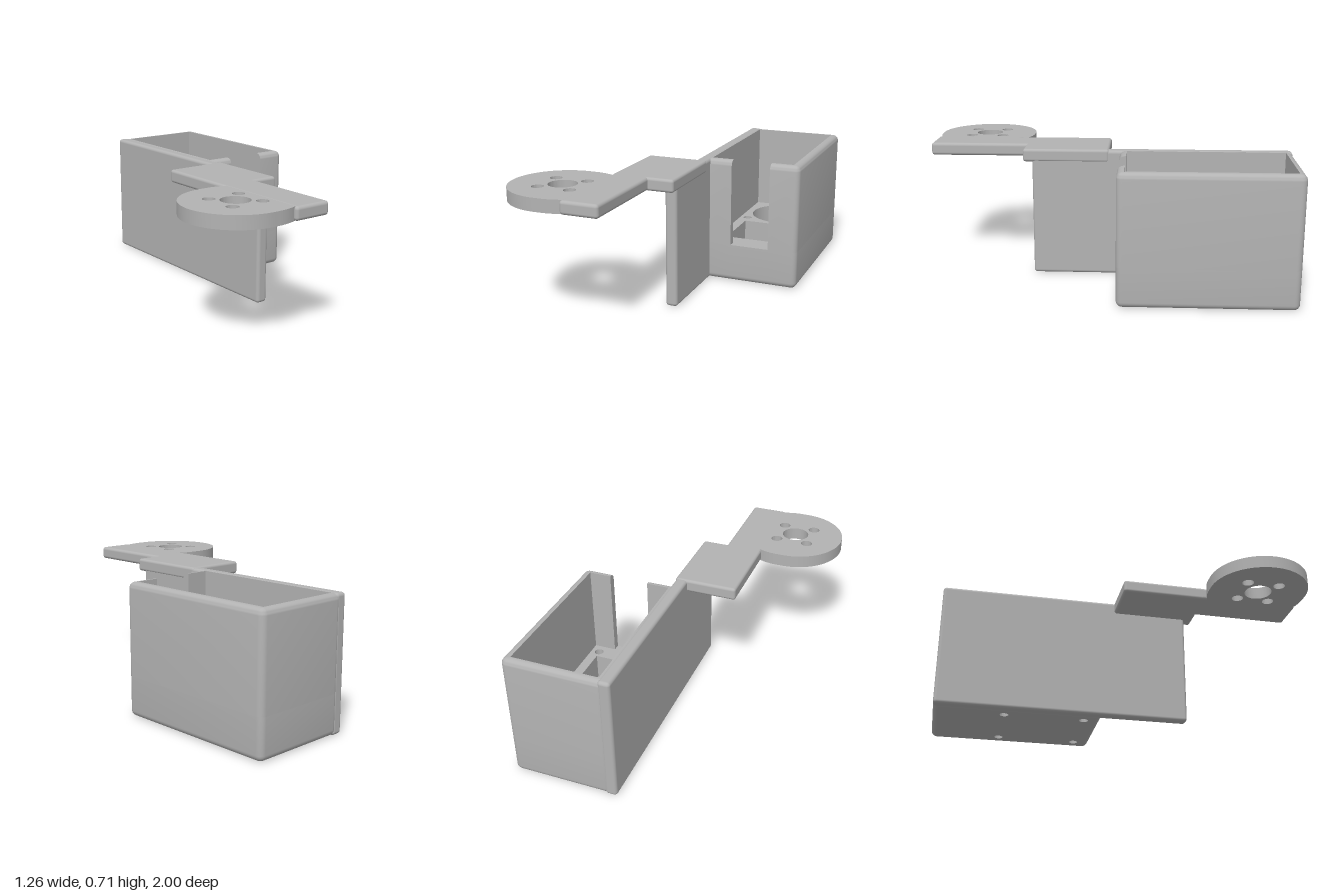
import * as THREE from 'three';
import { toCreasedNormals } from 'three/addons/utils/BufferGeometryUtils.js';
import { RoundedBoxGeometry } from 'three/addons/geometries/RoundedBoxGeometry.js';

const grey = new THREE.MeshStandardMaterial({ color: 0xb3b3b3 });
grey.name = 'plain grey';

// Box dimensions: outer and inner plan rectangles, front slot and heights
const OUT = { x0: 0.085, x1: 0.63, z0: -1, z1: -0.07 };
const INN = { x0: 0.12, x1: 0.587, z0: -0.963, z1: -0.11 };
const SLOT = { x0: 0.245, x1: 0.465 };
const TOP = 0.705, FLOOR = 0.215, RECESS = 0.07, R = 0.032;

const clamp = THREE.MathUtils.clamp;

function add(group, name, geometry) {
  const mesh = new THREE.Mesh(geometry, grey);
  mesh.name = name;
  group.add(mesh);
  return mesh;
}

function roundedBlock(group, name, x0, x1, y0, y1, z0, z1, r) {
  const mesh = add(group, name, new RoundedBoxGeometry(x1 - x0, y1 - y0, z1 - z0, 4, r));
  mesh.position.set((x0 + x1) / 2, (y0 + y1) / 2, (z0 + z1) / 2);
}

// Plan outlines are drawn with shape y = -z, then stood up so depth runs along +y
function rectPath(x0, x1, z0, z1, Kind = THREE.Path) {
  return new Kind([[x0, z1], [x1, z1], [x1, z0], [x0, z0]].map(([x, z]) => new THREE.Vector2(x, -z)));
}

function hole(x, z, r) {
  return new THREE.Path().absarc(x, -z, r, 0, Math.PI * 2, true);
}

function slab(shape, y0, y1) {
  const g = new THREE.ExtrudeGeometry(shape, { depth: y1 - y0, bevelEnabled: false, curveSegments: 32 });
  g.rotateX(-Math.PI / 2);
  g.translate(0, y0, 0);
  return toCreasedNormals(g, 0.5);
}

// Box outline from one slot edge round to the other, with rounded corners
function boxOutline() {
  const pts = [{ x: SLOT.x1, z: OUT.z1, nx: 0, nz: 1 }];
  const corners = [
    [OUT.x1 - R, OUT.z1 - R], [OUT.x1 - R, OUT.z0 + R],
    [OUT.x0 + R, OUT.z0 + R], [OUT.x0 + R, OUT.z1 - R],
  ];
  corners.forEach(([cx, cz], i) => {
    for (let k = 0; k <= 6; k++) {
      const a = (i + k / 6) * Math.PI / 2;
      const nx = Math.sin(a), nz = Math.cos(a);
      pts.push({ x: cx + R * nx, z: cz + R * nz, nx, nz });
    }
  });
  pts.push({ x: SLOT.x0, z: OUT.z1, nx: 0, nz: 1 });
  return pts;
}

// Sweep a wall profile round the outline; each step is {y, d: inset} or {y, inner}
function sweepWall(outline, profile) {
  const pos = [], index = [], n = outline.length;
  for (const s of profile) {
    for (const p of outline) {
      if (s.inner) pos.push(clamp(p.x, INN.x0, INN.x1), s.y, clamp(p.z, INN.z0, INN.z1));
      else pos.push(p.x - s.d * p.nx, s.y, p.z - s.d * p.nz);
    }
  }
  for (let j = 0; j < profile.length - 1; j++) {
    for (let i = 0; i < n - 1; i++) {
      const a = j * n + i, b = a + 1, c = b + n, d = a + n;
      index.push(a, b, c, a, c, d);
    }
  }
  const g = new THREE.BufferGeometry();
  g.setAttribute('position', new THREE.Float32BufferAttribute(pos, 3));
  g.setIndex(index);
  return toCreasedNormals(g, 0.6);
}

// Quarter-round steps at the bottom (up = -1) or top (up = 1) of the wall
function roundSteps(up) {
  return Array.from({ length: 7 }, (_, k) => {
    const a = (up > 0 ? k : 6 - k) / 6 * Math.PI / 2;
    const rise = R * (1 - Math.sin(a));
    return { y: up > 0 ? TOP - rise : rise, d: R * (1 - Math.cos(a)) };
  });
}

function makeBox() {
  const box = new THREE.Group();
  box.name = 'openBox';
  const outline = boxOutline();

  // Closed skirt below the slot, open wall above it
  add(box, 'boxSkirt', sweepWall([...outline, outline[0]], [...roundSteps(-1), { y: FLOOR, d: 0 }]));
  const wall = [{ y: FLOOR, d: 0 }, ...roundSteps(1), { y: TOP, inner: true }, { y: FLOOR, inner: true }];
  add(box, 'boxWall', sweepWall(outline, wall));

  // End faces of the wall on both sides of the slot
  for (const side of [1, -1]) {
    const section = wall.map(s => new THREE.Vector2(side * (s.inner ? OUT.z1 - INN.z1 : s.d), s.y));
    const cheek = add(box, side > 0 ? 'slotCheekRight' : 'slotCheekLeft',
      new THREE.ShapeGeometry(new THREE.Shape(section)));
    cheek.rotation.y = side * Math.PI / 2;
    cheek.position.set(side > 0 ? SLOT.x0 : SLOT.x1, 0, OUT.z1);
  }
  const ledge = add(box, 'slotLedge',
    new THREE.PlaneGeometry(SLOT.x1 - SLOT.x0, OUT.z1 - INN.z1).rotateX(-Math.PI / 2));
  ledge.position.set((SLOT.x0 + SLOT.x1) / 2, FLOOR, (OUT.z1 + INN.z1) / 2);

  // Floor: recessed upper layer over a base, with four screw holes through both
  const screws = [];
  for (const x of [0.165, 0.54]) for (const z of [-0.612, -0.165]) screws.push([x, z]);
  const upper = rectPath(INN.x0, INN.x1, INN.z0, INN.z1, THREE.Shape);
  const base = rectPath(OUT.x0 + R, OUT.x1 - R, OUT.z0 + R, OUT.z1 - R, THREE.Shape);
  for (const s of [upper, base]) for (const [x, z] of screws) s.holes.push(hole(x, z, 0.025));
  upper.holes.push(rectPath(0.175, 0.535, -0.54, -0.207), hole(0.352, -0.767, 0.193));
  add(box, 'recessedFloor', slab(upper, RECESS, FLOOR));
  add(box, 'basePlate', slab(base, 0, RECESS));
  return box;
}

// Round mount: two-centre disc cut straight where it joins the arm
function makeDisc() {
  const cx = -0.36, cz = 0.723, r = 0.275, cx2 = -0.325, edge = -0.2;
  const a = Math.acos((edge - cx2) / r);
  const shape = new THREE.Shape();
  shape.absarc(cx2, -cz, r, a, Math.PI / 2, false);
  shape.absarc(cx, -cz, r, Math.PI / 2, Math.PI * 1.5, false);
  shape.absarc(cx2, -cz, r, Math.PI * 1.5, Math.PI * 2 - a, false);
  shape.holes.push(hole(cx, cz, 0.075));
  for (const sx of [-1, 1]) for (const sz of [-1, 1]) {
    shape.holes.push(hole(cx + sx * 0.09, cz + sz * 0.09, 0.032));
  }
  return slab(shape, 0.64, 0.709);
}

export function createModel() {
  const model = new THREE.Group();
  model.name = 'mountedBoxBracket';
  model.add(makeBox());
  roundedBlock(model, 'sidePlate', 0.052, 0.118, 0, 0.706, -1, 0.41, 0.018);
  roundedBlock(model, 'innerArm', -0.225, 0.121, 0.64, 0.71, -0.012, 0.46, 0.015);
  roundedBlock(model, 'outerArm', -0.225, -0.02, 0.64, 0.71, 0.4, 0.998, 0.017);
  add(model, 'mountingDisc', makeDisc());
  return model;
}
